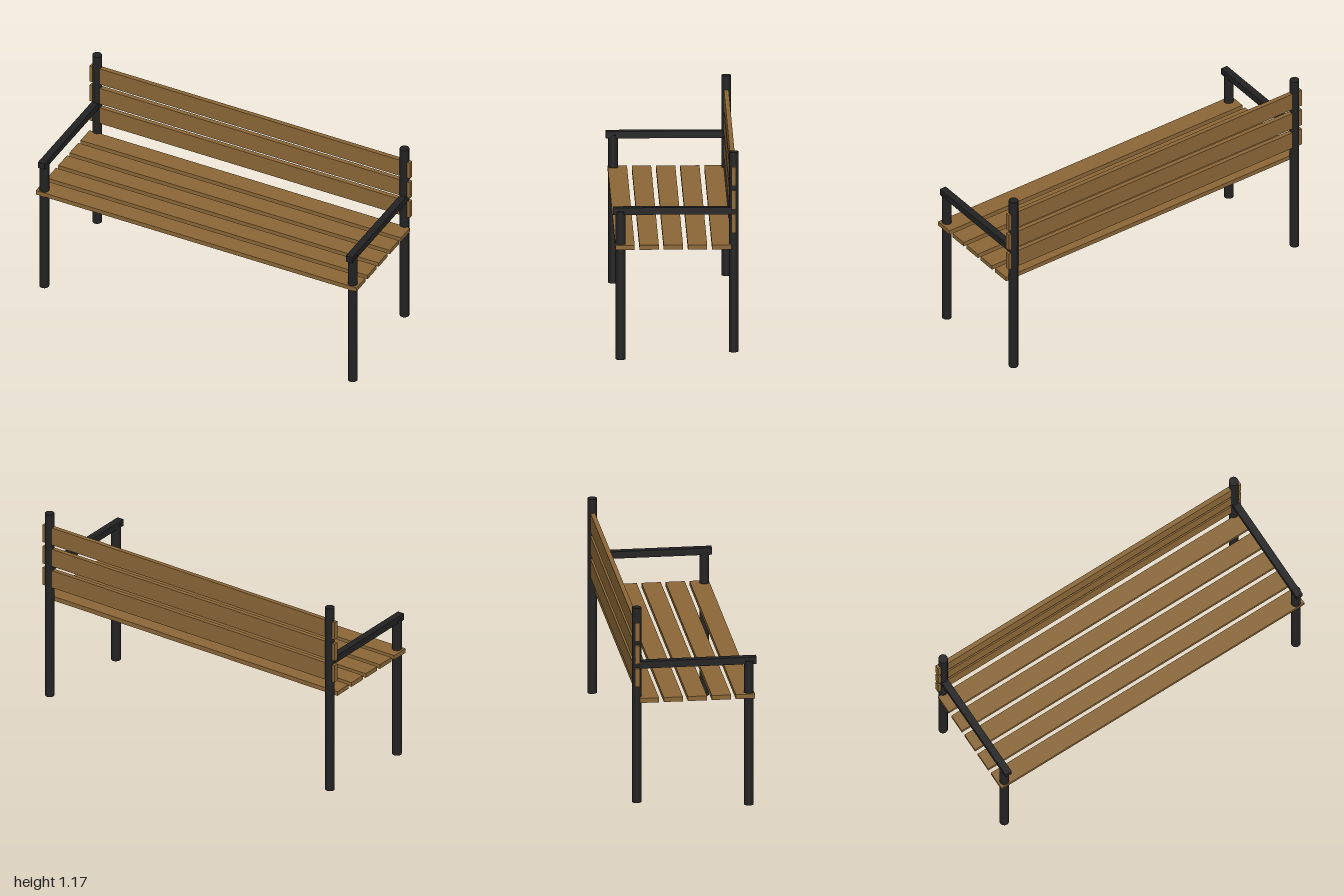
import * as THREE from 'three';

export function createModel() {
  const bench = new THREE.Group();
  bench.name = 'bench';
  const wood = new THREE.MeshStandardMaterial({ color: 0x8b6737 });
  const metal = new THREE.MeshStandardMaterial({ color: 0x222222 });

  function add(name, geometry, material, x, y, z) {
    const mesh = new THREE.Mesh(geometry, material);
    mesh.name = name;
    mesh.position.set(x, y, z);
    bench.add(mesh);
  }

  // Seat: five flat slats
  const seatSlat = new THREE.BoxGeometry(2, 0.026, 0.107);
  for (let i = 0; i < 5; i++) add('seatSlat', seatSlat, wood, 0, 0.641, 0.282 - i * 0.1338);

  // Backrest: three upright slats running through the rear posts
  const backSlat = new THREE.BoxGeometry(2, 0.106, 0.026);
  for (let i = 0; i < 3; i++) add('backSlat', backSlat, wood, 0, 0.775 + i * 0.133, -0.32);

  // Mirrored round legs, taller rear posts and square armrests
  const frontLeg = new THREE.CylinderGeometry(0.027, 0.027, 0.84, 24);
  const rearPost = new THREE.CylinderGeometry(0.0265, 0.0265, 1.135, 24);
  const armrest = new THREE.BoxGeometry(0.04, 0.04, 0.667);
  for (const [side, s] of [['left', 1], ['right', -1]]) {
    add(side + 'FrontLeg', frontLeg, metal, s * 0.962, 0.42, 0.306);
    add(side + 'RearPost', rearPost, metal, s * 0.959, 0.6075, -0.32);
    add(side + 'Armrest', armrest, metal, s * 0.96, 0.842, 0.0135);
  }
  return bench;
}
